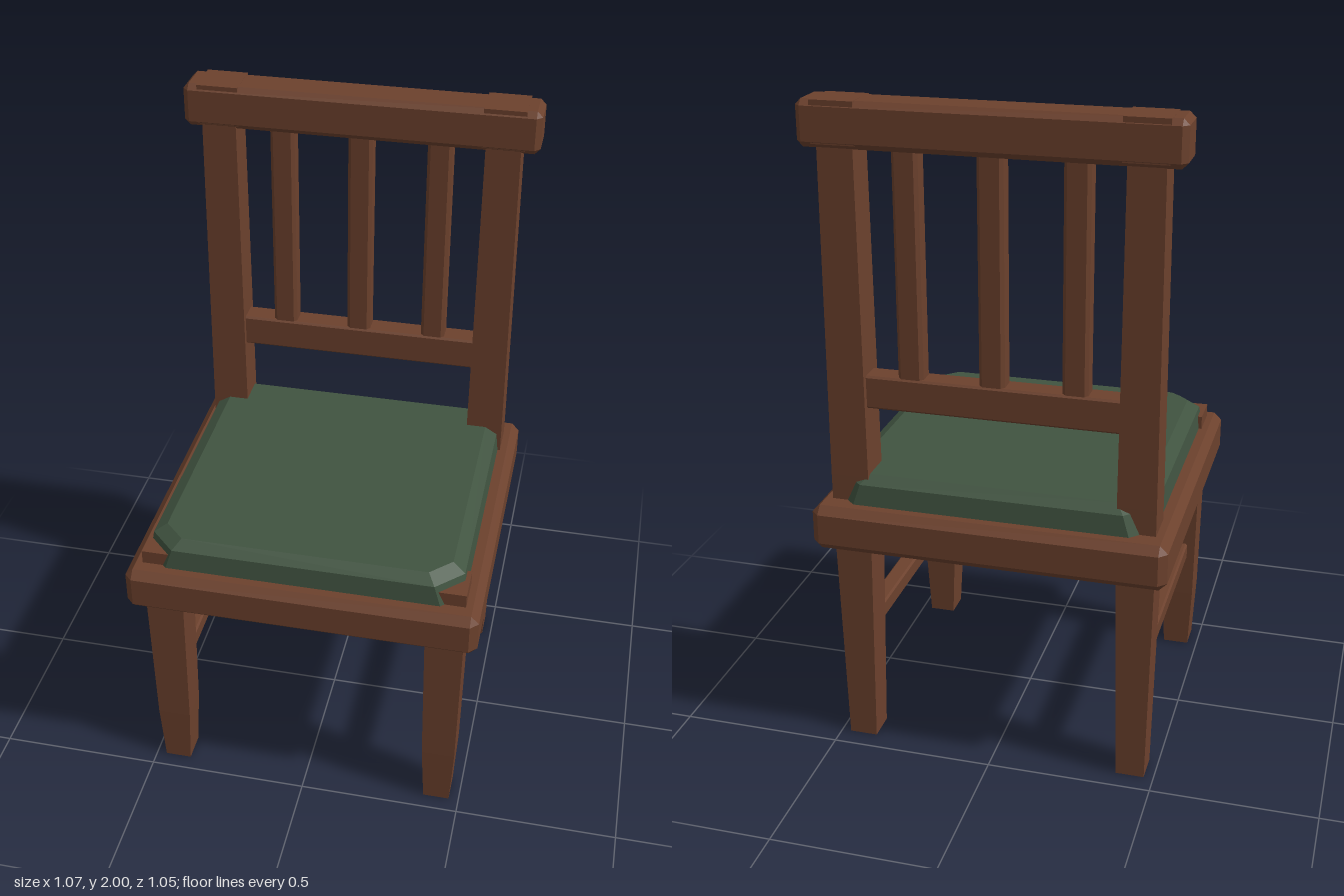
import * as THREE from 'three';
import { ConvexGeometry } from 'three/addons/geometries/ConvexGeometry.js';

const wood = new THREE.MeshStandardMaterial({ color: 0x6c412d });
wood.name = 'brown wood';
const fabric = new THREE.MeshStandardMaterial({ color: 0x405340 });
fabric.name = 'green fabric';

// Solid from stacked cross-sections: [y, half width, half depth, corner cut]
function stack(layers) {
  const points = [];
  for (const [y, w, d, cut = 0] of layers)
    for (const sx of [-1, 1])
      for (const sz of [-1, 1]) {
        points.push(new THREE.Vector3(sx * w, y, sz * (d - cut)));
        if (cut) points.push(new THREE.Vector3(sx * (w - cut), y, sz * d));
      }
  return new ConvexGeometry(points);
}

// Box with every edge chamfered by c
function chamferBox(w, h, d, c) {
  const x = w / 2, y = h / 2, z = d / 2;
  return stack([
    [-y, x - c, z - c], [-y + c, x, z, c],
    [y - c, x, z, c], [y, x - c, z - c],
  ]);
}

export function createModel() {
  const chair = new THREE.Group();
  chair.name = 'chair';
  const add = (name, geometry, material, x, y, z) => {
    const mesh = new THREE.Mesh(geometry, material);
    mesh.name = name;
    mesh.position.set(x, y, z);
    chair.add(mesh);
  };

  // Seat frame and cushion with cut corners
  add('seatFrame', chamferBox(1.06, 0.14, 1.05, 0.024), wood, 0, 0.75, 0);
  add('cushion', stack([
    [0.82, 0.477, 0.475, 0.065],
    [0.882, 0.47, 0.467, 0.078],
    [0.905, 0.432, 0.432, 0.062],
  ]), fabric, 0, 0, 0);

  // Legs, back posts and side stretchers
  const frontLeg = stack([[0, 0.041, 0.045], [0.2, 0.051, 0.052], [0.68, 0.058, 0.057], [0.862, 0.058, 0.057]]);
  const backPost = stack([[0, 0.043, 0.046], [0.7, 0.057, 0.055], [0.9, 0.057, 0.057], [1.88, 0.052, 0.053]]);
  for (const side of [-1, 1]) {
    add('frontLeg', frontLeg, wood, side * 0.428, 0, 0.407);
    add('backPost', backPost, wood, side * 0.428, 0, -0.393);
    add('stretcher', chamferBox(0.055, 0.055, 0.76, 0.006), wood, side * 0.428, 0.363, 0);
    // Square post end showing through the top rail
    add('postCap', new THREE.BoxGeometry(0.125, 0.12, 0.126), wood, side * 0.428, 1.94, -0.397);
  }

  // Back rails and spindles
  add('topRail', chamferBox(1.07, 0.131, 0.132, 0.017), wood, 0, 1.934, -0.396);
  add('lowerRail', chamferBox(0.78, 0.1, 0.075, 0.006), wood, 0, 1.161, -0.393);
  for (const x of [-0.24, 0, 0.24])
    add('spindle', chamferBox(0.075, 0.68, 0.065, 0.01), wood, x, 1.54, -0.393);

  return chair;
}
